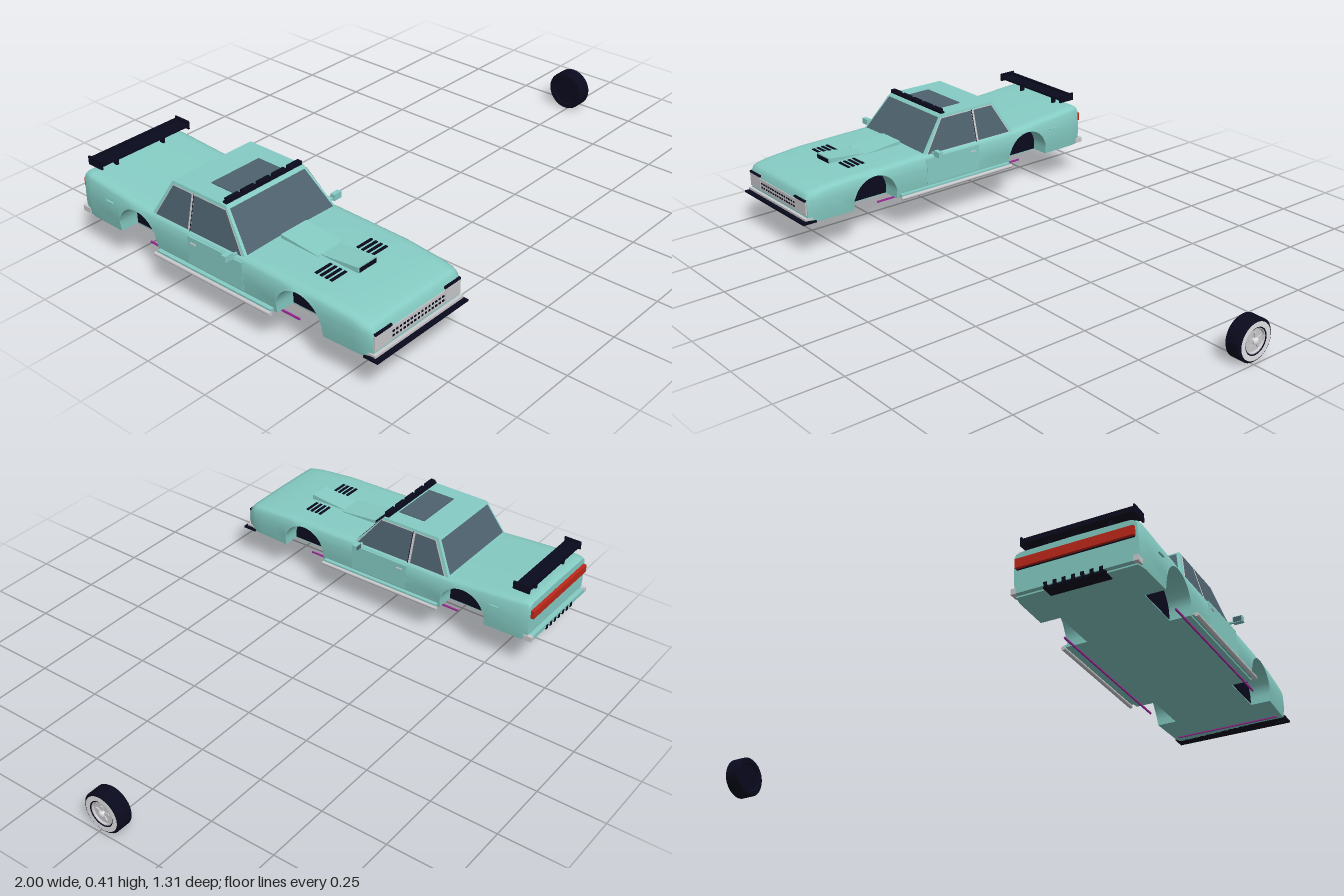
import * as THREE from 'three';
import { toCreasedNormals } from 'three/addons/utils/BufferGeometryUtils.js';

const mat = (name, color) => new THREE.MeshStandardMaterial({ name, color, side: THREE.DoubleSide });
const teal = mat('tealPaint', 0x86cdc5), black = mat('blackTrim', 0x0a0a1e), glass = mat('slateGlass', 0x4e626e);
const silver = mat('silver', 0xcacace), white = mat('whiteBand', 0xe4e4e8), red = mat('redLamp', 0xc0281a);
const purple = mat('purpleGlow', 0xa02a9a);

// piecewise-linear lookup through [position, value] pairs, position descending
function lookup(table, z) {
  for (let i = 1; i < table.length; i++) {
    const [z0, v0] = table[i - 1], [z1, v1] = table[i];
    if (z >= z1) return v0 + (v1 - v0) * THREE.MathUtils.clamp((z0 - z) / (z0 - z1), 0, 1);
  }
  return table[table.length - 1][1];
}
const topY = z => lookup([[0.63, 0.226], [0.618, 0.241], [0.56, 0.252], [0.43, 0.262], [0.12, 0.268], [-0.3, 0.265], [-0.622, 0.29], [-0.637, 0.284]], z);
const halfW = z => lookup([[0.63, 0.197], [0.6, 0.207], [0.4, 0.214], [-0.4, 0.214], [-0.6, 0.21], [-0.637, 0.203]], z);
const FLOOR = 0.132, ARCH_Y = 0.153, ARCH_R = 0.093, AXLES = [0.35, -0.367];

function add(parent, name, geometry, material) {
  const mesh = new THREE.Mesh(geometry, material);
  mesh.name = name;
  parent.add(mesh);
  return mesh;
}

// box given by its lower and upper corner
function box(parent, name, material, [x0, y0, z0], [x1, y1, z1]) {
  const mesh = add(parent, name, new THREE.BoxGeometry(x1 - x0, y1 - y0, z1 - z0), material);
  mesh.position.set((x0 + x1) / 2, (y0 + y1) / 2, (z0 + z1) / 2);
  return mesh;
}

// flat convex polygon in space
function plate(parent, name, material, points) {
  const pos = [];
  for (let i = 1; i < points.length - 1; i++) pos.push(...points[0], ...points[i], ...points[i + 1]);
  const g = new THREE.BufferGeometry();
  g.setAttribute('position', new THREE.Float32BufferAttribute(pos, 3));
  g.computeVertexNormals();
  return add(parent, name, g, material);
}

// body shell: cross-sections along z, whose lower edge rises over the wheel arches
function bodyGeometry() {
  const stations = [0.63, 0.618, 0.6, 0.56, 0.5].map(z => [z, FLOOR]);
  AXLES.forEach((zc, k) => {
    stations.push([zc + ARCH_R, FLOOR]);
    for (let i = 0; i <= 20; i++) {
      const a = Math.PI * i / 20;
      stations.push([zc + ARCH_R * Math.cos(a), ARCH_Y + ARCH_R * Math.sin(a)]);
    }
    stations.push([zc - ARCH_R, FLOOR]);
    if (k === 0) stations.push([0.12, FLOOR], [-0.12, FLOOR]);
  });
  stations.push([-0.6, FLOOR], [-0.622, FLOOR], [-0.637, FLOOR]);
  const rings = stations.map(([z, yb]) => {
    const w = halfW(z), t = topY(z);
    const half = [[w - 0.006, yb], [w, Math.max(yb, 0.175)], [w, Math.max(yb, 0.215)], [w - 0.003, t - 0.015],
      [w - 0.009, t - 0.005], [w - 0.02, t], [w - 0.04, t + 0.001]];
    return [...half, [0, t + 0.003], ...half.slice().reverse().map(([x, y]) => [-x, y])].map(([x, y]) => [x, y, z]);
  });
  const pos = [], n = rings[0].length, last = rings.length - 1;
  for (let i = 0; i < last; i++) for (let j = 0; j < n; j++) {
    const k = (j + 1) % n, a = rings[i][j], b = rings[i][k], c = rings[i + 1][j], d = rings[i + 1][k];
    pos.push(...a, ...c, ...b, ...b, ...c, ...d);
  }
  for (let j = 1; j < n - 1; j++) {
    pos.push(...rings[0][0], ...rings[0][j], ...rings[0][j + 1]);
    pos.push(...rings[last][0], ...rings[last][j + 1], ...rings[last][j]);
  }
  const g = new THREE.BufferGeometry();
  g.setAttribute('position', new THREE.Float32BufferAttribute(pos, 3));
  return toCreasedNormals(g, 0.8);
}

// cabin side, screen and rear slopes
const cabT = y => (y - 0.262) / 0.13;
const cabX = y => 0.199 - 0.031 * cabT(y);
const frontZ = y => 0.122 - 0.107 * cabT(y);
const rearZ = y => -0.297 + 0.072 * cabT(y);

function buildCabin(car) {
  const g = new THREE.BoxGeometry(2, 1, 2), p = g.attributes.position;
  for (let i = 0; i < p.count; i++) {
    const y = p.getY(i) > 0 ? 0.392 : 0.262;
    p.setXYZ(i, Math.sign(p.getX(i)) * cabX(y), y, p.getZ(i) > 0 ? frontZ(y) : rearZ(y));
  }
  g.computeVertexNormals();
  add(car, 'cabin', g, teal);
  const screen = (name, zOf, off, y0, y1) => plate(car, name, glass, [[-1, y0], [1, y0], [1, y1], [-1, y1]]
    .map(([s, y]) => [s * (cabX(y) - 0.009), y, zOf(y) + off]));
  screen('windscreen', frontZ, 0.003, 0.268, 0.383);
  screen('rearWindow', rearZ, -0.003, 0.27, 0.383);
  for (const s of [1, -1]) {
    const side = (name, m, off, pts) => plate(car, name, m, pts.map(([z, y]) => [s * (cabX(y) + off), y, z]));
    side('sideWindowTrim', silver, 0.002, [[0.111, 0.264], [0.023, 0.383], [-0.218, 0.383], [-0.284, 0.264]]);
    side('frontSideWindow', glass, 0.004, [[0.107, 0.266], [0.021, 0.381], [-0.119, 0.381], [-0.119, 0.266]]);
    side('rearSideWindow', glass, 0.004, [[-0.131, 0.266], [-0.131, 0.381], [-0.216, 0.381], [-0.279, 0.266]]);
    side('pillarSeam', black, 0.005, [[-0.119, 0.264], [-0.119, 0.385], [-0.122, 0.385], [-0.122, 0.264]]);
  }
  box(car, 'sunroof', glass, [-0.102, 0.39, -0.12], [0.102, 0.395, -0.01]);
  // roof light bar
  box(car, 'lightBar', black, [-0.163, 0.394, -0.003], [0.163, 0.4, 0.014]);
  for (let i = -2; i <= 2; i++) box(car, 'roofLamp', black, [i * 0.066 - 0.026, 0.398, -0.001], [i * 0.066 + 0.026, 0.41, 0.018]);
}

// wedge-shaped scoop: tall at zOpen, flush with the hood at zFlush
function scoop(car, w, zOpen, zFlush, h) {
  const g = new THREE.BoxGeometry(2, 2, 2), p = g.attributes.position;
  for (let i = 0; i < p.count; i++) {
    const open = p.getZ(i) > 0 === zOpen > zFlush, z = open ? zOpen : zFlush;
    p.setXYZ(i, p.getX(i) * w, p.getY(i) > 0 ? topY(z) + (open ? h : 0.004) : 0.25, z);
  }
  g.computeVertexNormals();
  add(car, 'hoodScoop', g, teal);
  const z = zOpen + 0.002 * Math.sign(zOpen - zFlush), y = topY(zOpen);
  plate(car, 'scoopMouth', black, [[-1, y], [1, y], [1, y + h - 0.003], [-1, y + h - 0.003]].map(([s, v]) => [s * (w - 0.004), v, z]));
}

function buildFront(car) {
  scoop(car, 0.042, 0.435, 0.285, 0.022);
  scoop(car, 0.056, 0.13, 0.285, 0.016);
  for (const s of [1, -1]) for (let i = 0; i < 4; i++) {
    const z = 0.342 + i * 0.02, y = topY(z);
    box(car, 'hoodVent', black, [s * 0.091 - 0.033, y - 0.004, z - 0.005], [s * 0.091 + 0.033, y + 0.005, z + 0.005]);
  }
  box(car, 'grillePanel', silver, [-0.124, 0.16, 0.626], [0.124, 0.204, 0.633]);
  for (let r = 0; r < 2; r++) for (let i = -7; i <= 7; i++)
    box(car, 'grilleSlot', black, [i * 0.016 - 0.004, 0.171 + r * 0.015, 0.628], [i * 0.016 + 0.004, 0.177 + r * 0.015, 0.635]);
  for (const s of [1, -1]) {
    box(car, 'headlamp', silver, [s * 0.159 - 0.035, 0.16, 0.626], [s * 0.159 + 0.035, 0.211, 0.635]);
    box(car, 'headlampBrow', black, [s * 0.156 - 0.036, 0.212, 0.622], [s * 0.156 + 0.036, 0.219, 0.637]);
  }
  box(car, 'frontBumper', silver, [-0.2, 0.143, 0.6], [0.2, 0.151, 0.642]);
  box(car, 'splitter', black, [-0.207, 0.132, 0.6], [0.207, 0.139, 0.655]);
}

function buildRear(car) {
  box(car, 'tailLampBase', black, [-0.192, 0.224, -0.64], [0.192, 0.258, -0.634]);
  box(car, 'tailLamp', red, [-0.194, 0.227, -0.65], [0.194, 0.258, -0.634]);
  box(car, 'rearBumper', teal, [-0.2, 0.137, -0.655], [0.2, 0.154, -0.63]);
  for (const s of [1, -1]) box(car, 'bumperCorner', silver, [s * 0.198 - 0.008, 0.136, -0.656], [s * 0.198 + 0.008, 0.155, -0.622]);
  box(car, 'diffuser', black, [-0.1, 0.13, -0.65], [0.1, 0.137, -0.6]);
  for (let i = -3; i <= 3; i++) box(car, 'diffuserFin', black, [i * 0.03 - 0.006, 0.131, -0.657], [i * 0.03 + 0.006, 0.148, -0.62]);
  // wing on two posts
  box(car, 'wingBlade', black, [-0.185, 0.326, -0.617], [0.185, 0.334, -0.556]);
  box(car, 'wingLip', black, [-0.185, 0.33, -0.617], [0.185, 0.343, -0.608]);
  for (const s of [1, -1]) {
    box(car, 'wingEndPlate', black, [s * 0.187 - 0.003, 0.318, -0.62], [s * 0.187 + 0.003, 0.348, -0.553]);
    box(car, 'wingPost', black, [s * 0.1 - 0.005, 0.28, -0.602], [s * 0.1 + 0.005, 0.328, -0.586]);
  }
}

function buildSides(car) {
  for (const s of [1, -1]) {
    const side = (name, m, x0, x1, y0, y1, z0, z1) =>
      box(car, name, m, [Math.min(s * x0, s * x1), y0, z0], [Math.max(s * x0, s * x1), y1, z1]);
    side('door', teal, 0.2, 0.2152, 0.155, 0.254, -0.122, 0.121);
    side('doorHandle', silver, 0.208, 0.219, 0.232, 0.236, -0.106, -0.082);
    side('sideMarker', teal, 0.206, 0.217, 0.229, 0.233, -0.515, -0.48);
    side('sideSkirt', teal, 0.2, 0.224, 0.137, 0.146, -0.265, 0.245);
    const pipe = add(car, 'sidePipe', new THREE.CylinderGeometry(0.007, 0.007, 0.52, 12), silver);
    pipe.rotation.x = Math.PI / 2;
    pipe.position.set(s * 0.226, 0.133, -0.012);
    side('underglow', purple, 0.184, 0.189, 0.127, 0.133, -0.34, 0.33);
    side('mirrorArm', teal, 0.19, 0.235, 0.266, 0.272, 0.082, 0.09);
    side('mirror', teal, 0.222, 0.255, 0.262, 0.284, 0.076, 0.094);
    side('mirrorGlass', glass, 0.225, 0.252, 0.265, 0.281, 0.074, 0.077);
  }
  box(car, 'frontUnderglow', purple, [-0.184, 0.128, 0.575], [0.184, 0.133, 0.58]);
}

// loose wheel, its face toward +x
function buildWheel() {
  const wheel = new THREE.Group();
  wheel.name = 'wheel';
  const lathe = (name, m, pts) => {
    const g = new THREE.LatheGeometry(pts.map(([r, x]) => new THREE.Vector2(r, x)), 36);
    add(wheel, name, toCreasedNormals(g, 0.5), m).rotation.z = -Math.PI / 2;
  };
  lathe('tyre', black, [[0, -0.024], [0.05, -0.024], [0.055, -0.03], [0.07, -0.03], [0.075, -0.025], [0.075, 0.025], [0.07, 0.03], [0.047, 0.03], [0.044, 0.02], [0, 0.02]]);
  lathe('sidewallBand', white, [[0.066, 0.032], [0.048, 0.032]]);
  lathe('rim', silver, [[0.044, 0.03], [0.041, 0.03], [0.038, 0.024], [0, 0.024]]);
  lathe('hubCap', white, [[0.012, 0.024], [0.011, 0.034], [0.006, 0.037], [0, 0.037]]);
  for (let i = 0; i < 5; i++) {
    const spoke = add(wheel, 'spoke', new THREE.BoxGeometry(0.008, 0.02, 0.008), silver);
    const a = i * Math.PI * 0.4;
    spoke.position.set(0.025, 0.018 * Math.cos(a), 0.018 * Math.sin(a));
    spoke.rotation.x = a;
  }
  wheel.position.set(0.962, 0.075, -0.011);
  return wheel;
}

export function createModel() {
  const model = new THREE.Group(), car = new THREE.Group();
  model.name = 'carAndWheel';
  car.name = 'car';
  car.position.x = -0.745;
  add(car, 'bodyShell', bodyGeometry(), teal);
  // inner structure between the wheel wells
  for (const z of AXLES) {
    box(car, 'wheelWell', black, [-0.14, 0.135, z - 0.092], [0.14, 0.25, z + 0.092]);
    box(car, 'floorPan', teal, [-0.14, FLOOR, z - 0.094], [0.14, 0.135, z + 0.094]);
  }
  buildCabin(car);
  buildFront(car);
  buildRear(car);
  buildSides(car);
  model.add(car, buildWheel());
  return model;
}
